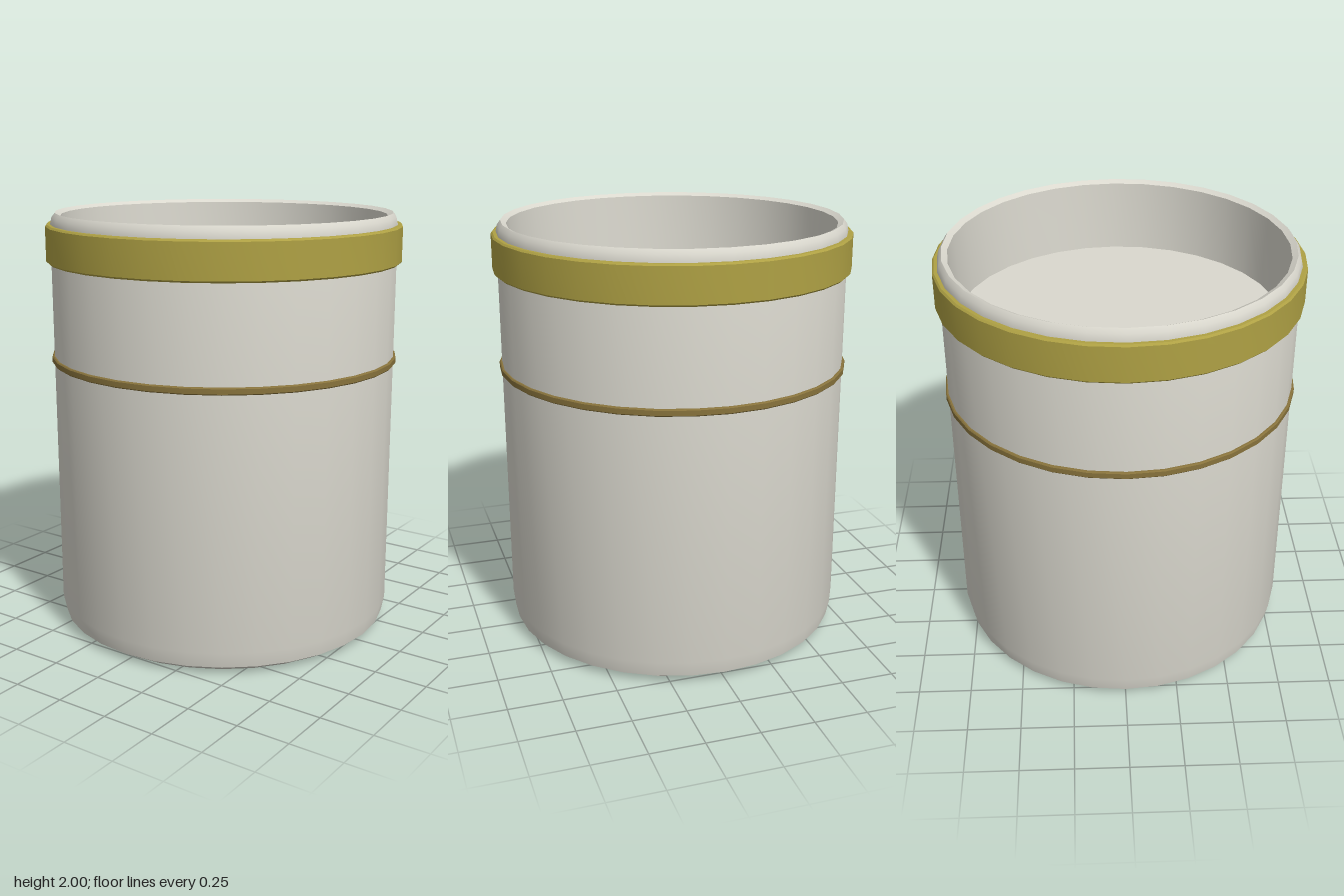
import * as THREE from 'three';
import { toCreasedNormals } from 'three/addons/utils/BufferGeometryUtils.js';

const SIDES = 32;

function material(name, color) {
  const m = new THREE.MeshStandardMaterial({ color });
  m.name = name;
  return m;
}

// Turns a [radius, height] profile around the y axis, keeping hard edges sharp
function turned(name, profile, mat) {
  const points = profile.map(([r, y]) => new THREE.Vector2(r, y));
  const geometry = toCreasedNormals(new THREE.LatheGeometry(points, SIDES), 0.62);
  const mesh = new THREE.Mesh(geometry, mat);
  mesh.name = name;
  return mesh;
}

// Closed hoop with small chamfers on its outer edges
function hoop(name, inner, outer, bottom, top, chamfer, mat) {
  return turned(name, [
    [inner, bottom],
    [outer - chamfer, bottom],
    [outer, bottom + chamfer],
    [outer, top - chamfer],
    [outer - chamfer, top],
    [inner, top],
    [inner, bottom],
  ], mat);
}

export function createModel() {
  const group = new THREE.Group();
  group.name = 'cup';

  const ceramic = material('pale ceramic', 0xdad8ce);
  const gold = material('gold', 0xafa144);
  const bronze = material('dark bronze', 0x88733c);

  // Body: rounded foot, straight wall, rolled lip and shallow recess
  group.add(turned('body', [
    [0, 0],
    [0.745, 0],
    [0.803, 0.036],
    [0.818, 0.11],
    [0.818, 1.95],
    [0.811, 1.98],
    [0.796, 2],
    [0.77, 1.986],
    [0.753, 1.65],
    [0, 1.65],
  ], ceramic));

  // Wide band under the lip and thin ring around the wall
  group.add(hoop('rimBand', 0.81, 0.842, 1.77, 1.947, 0.008, gold));
  group.add(hoop('thinRing', 0.81, 0.83, 1.296, 1.329, 0.005, bronze));

  return group;
}
